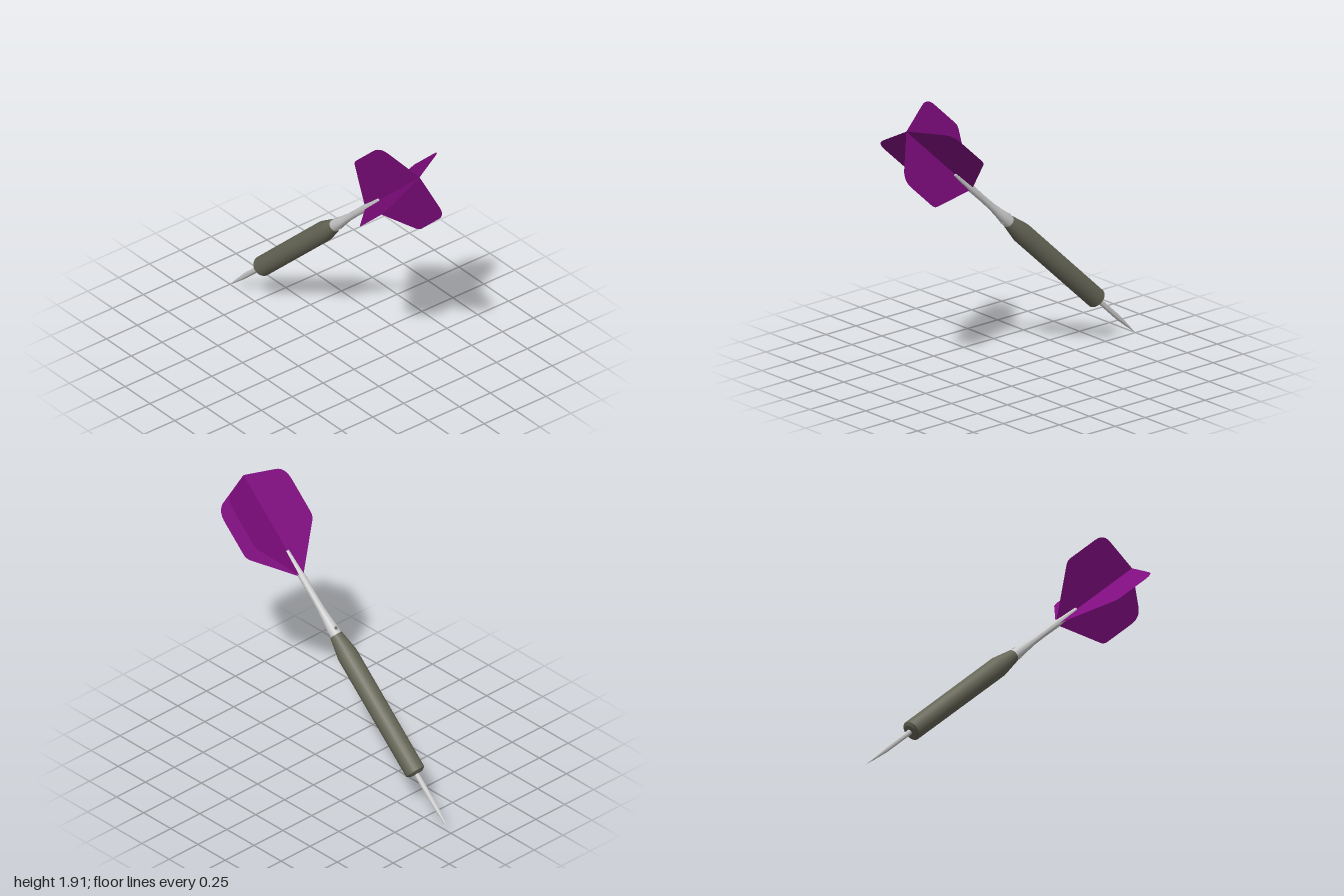
import * as THREE from 'three';
import { toCreasedNormals } from 'three/addons/utils/BufferGeometryUtils.js';

const steel = new THREE.MeshStandardMaterial({ color: 0xcccccc });
const tungsten = new THREE.MeshStandardMaterial({ color: 0x666657 });
const holeDark = new THREE.MeshStandardMaterial({ color: 0x666666 });
const purple = new THREE.MeshStandardMaterial({ color: 0x800c80, side: THREE.DoubleSide });

// Turned part from [radius, distance along the dart] pairs
function turned(name, profile, material, sides = 20) {
  const points = profile.map(([r, y]) => new THREE.Vector2(r, y));
  const geometry = toCreasedNormals(new THREE.LatheGeometry(points, sides), 0.45);
  const mesh = new THREE.Mesh(geometry, material);
  mesh.name = name;
  return mesh;
}

// Outline of one fin: x is distance from the axis, y runs along the dart
function finShape() {
  const s = new THREE.Shape();
  s.moveTo(0, 1.868);
  s.lineTo(0.278, 2.14);
  s.quadraticCurveTo(0.301, 2.163, 0.301, 2.195);
  s.lineTo(0.301, 2.43);
  s.quadraticCurveTo(0.301, 2.522, 0.226, 2.543);
  s.lineTo(0, 2.618);
  s.closePath();
  return s;
}

export function createModel() {
  const dart = new THREE.Group();
  dart.name = 'dart';

  // Pin with a long sharp tip
  dart.add(turned('point', [[0, 0], [0.009, 0.09], [0.017, 0.2], [0.017, 0.46]], steel, 16));

  // Heavy grip, tapered toward the shaft
  dart.add(turned('barrel', [
    [0, 0.432], [0.045, 0.436], [0.066, 0.45], [0.067, 1.305], [0.042, 1.45], [0, 1.45],
  ], tungsten));

  // Shaft, flared at the barrel and narrowing into the flight
  dart.add(turned('shaft', [
    [0, 1.44], [0.039, 1.44], [0.038, 1.5], [0.031, 1.56], [0.024, 1.64],
    [0.022, 1.75], [0.024, 1.87], [0.019, 1.95], [0.014, 2.066], [0, 2.066],
  ], steel));

  // Cross hole through the shaft collar, with a rim at each end
  const hole = new THREE.Mesh(new THREE.CylinderGeometry(0.012, 0.012, 0.077, 16), holeDark);
  hole.name = 'shaftHole';
  hole.rotation.z = Math.PI / 2;
  hole.position.y = 1.485;
  dart.add(hole);
  for (const side of [-1, 1]) {
    const rim = new THREE.Mesh(new THREE.TorusGeometry(0.0125, 0.002, 6, 16), steel);
    rim.name = 'holeRim';
    rim.rotation.y = Math.PI / 2;
    rim.position.set(side * 0.038, 1.485, 0);
    dart.add(rim);
  }

  // Four thin fins crossing on the axis
  const flight = new THREE.Group();
  flight.name = 'flight';
  const finGeometry = new THREE.ShapeGeometry(finShape(), 10);
  for (let i = 0; i < 4; i++) {
    const fin = new THREE.Mesh(finGeometry, purple);
    fin.name = 'fin';
    fin.rotation.y = THREE.MathUtils.degToRad(21.5 + i * 90);
    flight.add(fin);
  }
  dart.add(flight);

  // Lean the dart on its tip
  dart.rotation.z = -Math.atan2(1.91, 1.79);
  dart.position.set(-1, 0, 0);

  const model = new THREE.Group();
  model.name = 'model';
  model.add(dart);
  return model;
}
